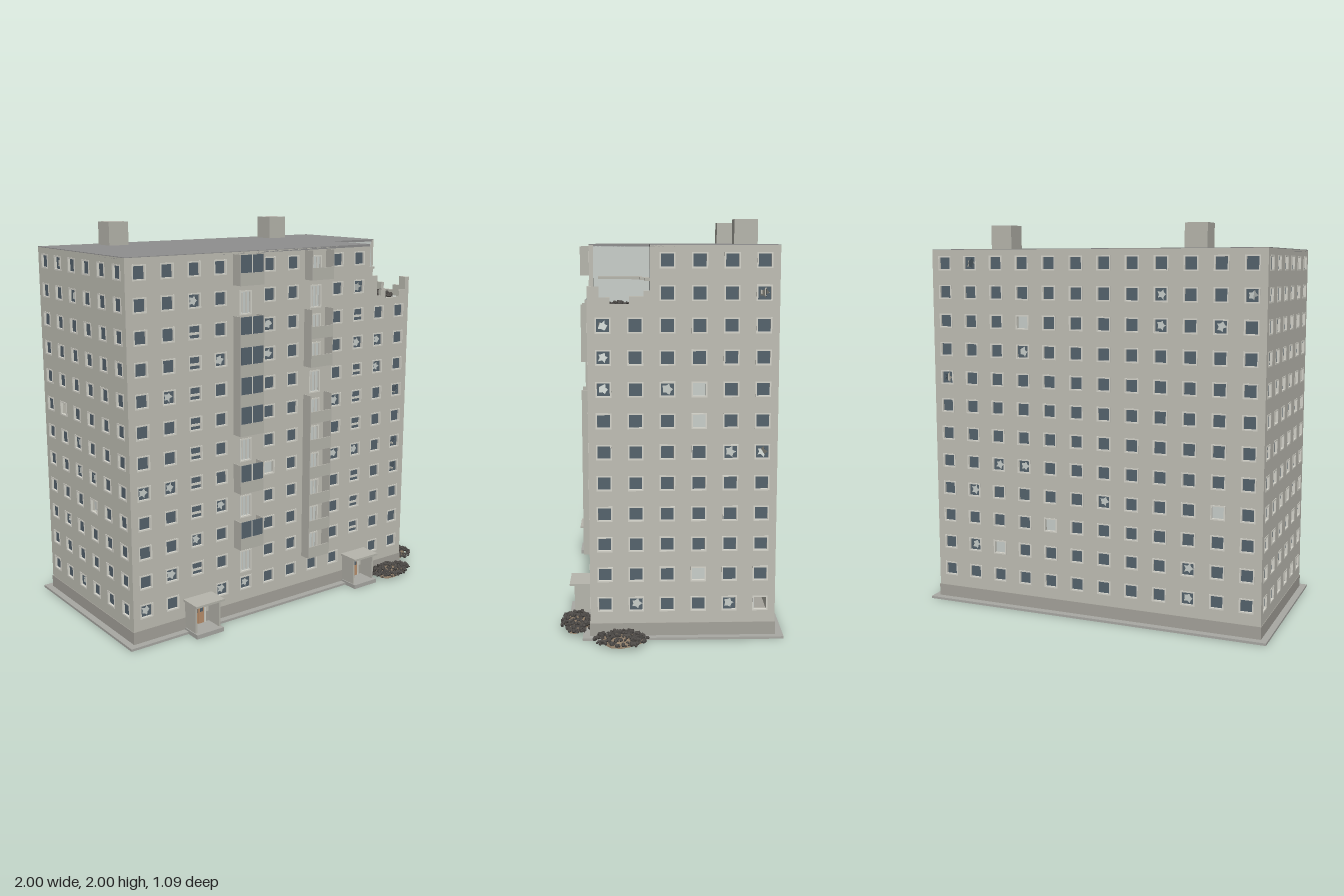
import * as THREE from 'three';
import { mergeGeometries } from 'three/addons/utils/BufferGeometryUtils.js';

const CX = -0.07, CZ = -0.07, W = 0.893, D = 0.445, H = 1.88, T = 0.02, STEP = 0.149;
const floorY = i => 0.17 + STEP * i;

const mat = (color, extra = {}) => new THREE.MeshStandardMaterial({ color, ...extra });
const M = {
  wall: mat(0xc0bfb5), plinth: mat(0xa5a39b), roof: mat(0x8f8f8f), frame: mat(0xd6d5cc),
  glass: mat(0x55636d), inner: mat(0xc9cfcb), balcony: mat(0xb7b6ad), wood: mat(0xb98f6c),
  base: mat(0xa9a9a4), rubble: mat(0x4d4a47, { flatShading: true }), dirt: mat(0x8d7b66, { flatShading: true }),
};

let seed = 7;
const rnd = () => (seed = (seed * 16807) % 2147483647) / 2147483647;
const range = (a, b) => a + (b - a) * rnd();

function add(parent, name, geo, material) {
  const m = new THREE.Mesh(geo, material);
  m.name = name;
  parent.add(m);
  return m;
}
// Box given by its minimum and maximum corners
const span = (x0, x1, y0, y1, z0, z1) =>
  new THREE.BoxGeometry(x1 - x0, y1 - y0, z1 - z0).translate((x0 + x1) / 2, (y0 + y1) / 2, (z0 + z1) / 2);
const shapeOf = pts => new THREE.Shape(pts.map(p => new THREE.Vector2(...p)));
const rect = (x, y, w, h) => [[x - w / 2, y - h / 2], [x + w / 2, y - h / 2], [x + w / 2, y + h / 2], [x - w / 2, y + h / 2]];
function plate(pts, holes, depth) {
  const s = shapeOf(pts);
  holes.forEach(h => s.holes.push(shapeOf(h)));
  return new THREE.ExtrudeGeometry(s, { depth, bevelEnabled: false });
}
// Horizontal slab from (x, z) points
const slab = (pts, y, h) =>
  plate(pts.map(([x, z]) => [x, -z]), [], h).rotateX(-Math.PI / 2).translate(0, y, 0);

// One wall with its windows; kind(k, i) gives the type of each opening
function facade(parent, name, angle, half, dist, cols, outline, kind) {
  const g = new THREE.Group();
  g.name = name;
  g.position.set(CX, 0, CZ);
  g.rotation.y = angle;
  parent.add(g);
  const holes = [], frames = [], panes = [], doors = [];
  const ring = (x, y, w, h) => frames.push(
    plate(rect(x, y, w + 0.01, h + 0.01), [rect(x, y, w - 0.004, h - 0.004)], 0.012).translate(0, 0, dist - 0.0095));
  for (let k = 0; k < cols; k++) for (let i = 0; i < 12; i++) {
    const x = (k - (cols - 1) / 2) * STEP, y = floorY(i), t = kind(k, i), s = 0.064;
    if (t === 'none') continue;
    if (t === 'door') {
      holes.push(rect(x, y - 0.03, s, 0.11));
      ring(x, y - 0.03, s, 0.11);
      doors.push(span(x - s / 2, x + s / 2, y - 0.085, y + 0.025, dist - 0.018, dist - 0.013));
      for (const dx of [-0.012, 0.012])
        frames.push(plate(rect(x + dx, y - 0.03, 0.004, 0.1), [], 0.006).translate(0, 0, dist - 0.013));
      continue;
    }
    holes.push(rect(x, y, s, s));
    ring(x, y, s, s);
    if (t === 'open') continue;
    const hole = [];
    if (t === 'broken') for (let a = 0; a < 10; a++) {
      const r = a % 2 ? range(0.012, 0.02) : range(0.022, 0.03), q = a * Math.PI / 5;
      hole.push([x + r * Math.cos(q), y + r * Math.sin(q)]);
    }
    panes.push(plate(rect(x, y, s, s), hole.length ? [hole] : [], 0.003).translate(0, 0, dist - 0.013));
    // Landing edge behind the stairwell windows
    if (t === 'stair') frames.push(plate(rect(x, y - 0.008, s, 0.012), [], 0.004).translate(0, 0, dist - 0.01));
  }
  add(g, 'wallPanel', plate(outline, holes, T).translate(0, 0, dist - T), M.wall);
  add(g, 'windowFrames', mergeGeometries(frames), M.frame);
  add(g, 'windowPanes', mergeGeometries(panes), M.glass);
  if (doors.length) add(g, 'balconyDoors', mergeGeometries(doors), M.inner);
}

// Heap of broken pieces on an optional mound of earth
function rubblePile(parent, name, x, y, z, rx, rz, h, count, mound) {
  const g = new THREE.Group();
  g.name = name;
  g.position.set(x, y, z);
  parent.add(g);
  if (mound) {
    const geo = new THREE.SphereGeometry(1, 14, 5, 0, Math.PI * 2, 0, Math.PI / 2);
    const p = geo.attributes.position;
    for (let i = 0; i < p.count; i++) {
      const a = Math.atan2(p.getZ(i), p.getX(i)), f = 0.75 + 0.12 * Math.sin(3 * a + 1) + 0.06 * Math.sin(7 * a);
      p.setXYZ(i, p.getX(i) * rx * f, p.getY(i) * h * 0.8, p.getZ(i) * rz * f);
    }
    geo.computeVertexNormals();
    add(g, 'earthMound', geo, M.dirt);
  }
  const bits = [];
  for (let i = 0; i < count; i++) {
    const a = range(0, 6.283), r = Math.sqrt(rnd()) * 0.95, s = range(0.004, 0.011);
    const b = i % 3 ? new THREE.DodecahedronGeometry(s) : new THREE.BoxGeometry(s * 2.4, s, s * 1.5).toNonIndexed();
    b.rotateX(range(0, 3)).rotateY(range(0, 3));
    b.translate(Math.cos(a) * r * rx, s + h * 0.85 * Math.sqrt(1 - r * r) * range(0.3, 1), Math.sin(a) * r * rz);
    bits.push(b);
  }
  add(g, 'chunks', mergeGeometries(bits), M.rubble);
}

function balcony(parent, x, i, glazed) {
  const g = new THREE.Group();
  g.name = glazed ? 'glazedBalcony' : 'openBalcony';
  g.position.set(x, floorY(i), CZ + D);
  parent.add(g);
  const w = 0.07, d = 0.06;
  const parts = [span(-w, w, -0.09, -0.082, 0, d), span(-w, w, -0.09, -0.028, d - 0.006, d)];
  for (const s of [-1, 1])
    parts.push(span(s * w - 0.002, s * w + 0.002, -0.09, 0.059, 0, d));
  add(g, 'balconyShell', mergeGeometries(parts), M.balcony);
  if (!glazed) return;
  for (const s of [-1, 1])
    add(g, 'balconyGlass', span(s * 0.035 - 0.032, s * 0.035 + 0.032, -0.028, 0.057, d - 0.005, d - 0.001), M.glass);
  add(g, 'balconyMullion', span(-0.003, 0.003, -0.028, 0.057, d - 0.005, d), M.frame);
}

function porch(parent, x) {
  const g = new THREE.Group();
  g.name = 'entrancePorch';
  g.position.set(x, 0, CZ + D);
  parent.add(g);
  add(g, 'porchRoof', span(-0.085, 0.085, 0.163, 0.174, 0, 0.117), M.balcony);
  add(g, 'porchStep', span(-0.08, 0.08, 0, 0.022, 0, 0.115), M.base);
  for (const s of [-1, 1]) {
    add(g, 'porchSide', span(s * 0.07 - 0.005, s * 0.07 + 0.005, 0.02, 0.163, 0, 0.093), M.balcony);
    add(g, 'doorLeaf', span(s * 0.017 - 0.016, s * 0.017 + 0.016, 0.022, 0.14, 0, 0.008), M.wood);
    add(g, 'doorLight', span(s * 0.017 - 0.008, s * 0.017 + 0.008, 0.085, 0.128, 0.006, 0.01), M.glass);
  }
  add(g, 'doorSurround', plate(rect(0, 0.084, 0.084, 0.128), [rect(0, 0.08, 0.068, 0.12)], 0.01), M.frame);
}

export function createModel() {
  const root = new THREE.Group();
  root.name = 'damagedApartmentBlock';
  const x0 = CX - W, x1 = CX + W, z0 = CZ - D, z1 = CZ + D, nx = 0.525, nz = 0.085;

  // Ground slab, plinth and rooms behind the windows
  add(root, 'groundSlab', span(-1, 0.857, 0, 0.012, -0.556, 0.412), M.base);
  add(root, 'plinth', span(x0 - 0.003, x1 + 0.003, 0.005, 0.075, z0 - 0.003, z1 + 0.003), M.plinth);
  add(root, 'innerCore', span(x0 + 0.09, x1 - 0.09, 0.07, 1.56, z0 + 0.09, z1 - 0.09), M.inner);
  add(root, 'upperCore', span(x0 + 0.09, nx - 0.05, 1.56, 1.86, z0 + 0.09, nz - 0.05), M.inner);
  const e = T / 2;
  const floors = [];
  for (let i = 1; i < 11; i++) floors.push(span(x0 + e, x1 - e, floorY(i) - 0.092, floorY(i) - 0.08, z0 + e, z1 - e));
  add(root, 'floorSlabs', mergeGeometries(floors), M.inner);

  // Outer walls, with the collapsed corner left out of the front and right ones
  const full = h => [[-h, 0], [h, 0], [h, H - 0.003], [-h, H - 0.003]];
  const frontEdge = [[-W, 0], [W, 0], [W, 1.69], [0.865, 1.69], [0.865, 1.62], [0.82, 1.62], [0.82, 1.585], [0.72, 1.585],
    [0.72, 1.63], [0.685, 1.63], [0.685, 1.6], [0.655, 1.6], [0.655, 1.71], [0.62, 1.71], [0.62, 1.76], [0.597, 1.76],
    [0.597, H - 0.003], [-W, H - 0.003]];
  const s = D - T;
  const rightEdge = [[-s, 0], [s, 0], [s, H - 0.003], [-0.155, H - 0.003], [-0.155, 1.67], [-0.185, 1.67], [-0.185, 1.645],
    [-0.25, 1.645], [-0.25, 1.61], [-0.34, 1.61], [-0.34, 1.64], [-0.39, 1.64], [-0.39, 1.69], [-s, 1.69]];
  const frontBroken = ['0,4', '1,4', '8,4', '11,4', '3,3', '11,3', '1,1', '0,0', '3,0', '4,0', '8,6', '11,6', '1,7', '10,7',
    '3,8', '5,8', '10,8', '5,9', '2,10', '9,10', '2,2', '9,8', '9,4'];
  const rightBroken = ['0,9', '0,8', '0,7', '2,7', '4,5', '5,5', '1,0', '4,0', '5,10'];
  const rightOpen = ['3,7', '3,6', '3,1', '5,0'];
  facade(root, 'frontWall', 0, W, D, 12, frontEdge, (k, i) => {
    if (k > 9 && i > 9) return 'none';
    const stair = k === 2 || k === 9;
    if (stair && i === 0) return 'none';
    if ((k === 4 || k === 7) && i > 0) return 'door';
    if (frontBroken.includes(`${k},${i}`)) return 'broken';
    if (k === 5 && i === 4) return 'open';
    return stair && i < 11 ? 'stair' : 'whole';
  });
  facade(root, 'rightWall', Math.PI / 2, s, W, 6, rightEdge, (k, i) => {
    if (k < 2 && i > 9) return 'none';
    const id = `${k},${i}`;
    return rightOpen.includes(id) ? 'open' : rightBroken.includes(id) ? 'broken' : 'whole';
  });
  const scattered = () => { const r = rnd(); return r < 0.04 ? 'open' : r < 0.17 ? 'broken' : 'whole'; };
  facade(root, 'backWall', Math.PI, W, D, 12, full(W), scattered);
  facade(root, 'leftWall', -Math.PI / 2, s, W, 6, full(s), scattered);

  // Roof with the missing corner and two stair heads
  add(root, 'roof', slab([[x0, z0], [x1, z0], [x1, nz], [0.76, nz], [nx, nz], [nx, z1], [x0, z1]], H - 0.012, 0.012), M.roof);
  for (const x of [-0.593, 0.452]) add(root, 'roofHousing', span(x - 0.057, x + 0.057, H, 2, -0.445, -0.33), M.balcony);

  // Exposed rooms in the collapsed corner
  const ruin = new THREE.Group();
  ruin.name = 'collapsedCorner';
  root.add(ruin);
  add(ruin, 'exposedFloor', span(nx - 0.01, x1 - 0.01, 1.56, 1.575, nz - 0.01, z1 - 0.01), M.inner);
  add(ruin, 'exposedBackWall', plate([[nx, 1.57], [x1 - 0.01, 1.57], [x1 - 0.01, H - 0.01], [nx, H - 0.01]],
    [rect(0.6, 1.8, 0.06, 0.08), rect(0.6, 1.63, 0.055, 0.1)], 0.012).translate(0, 0, nz - 0.012), M.inner);
  add(ruin, 'doorwayRecess', span(0.55, 0.65, 1.575, 1.86, nz - 0.03, nz - 0.02), M.glass);
  add(ruin, 'exposedSideWall', span(nx - 0.012, nx, 1.57, H - 0.01, nz, z1 - 0.01), M.inner);
  add(ruin, 'brokenMiddleFloor', slab([[nx, nz], [x1 - 0.01, nz], [x1 - 0.01, 0.11], [0.7, 0.11], [0.7, 0.13], [0.62, 0.13],
    [0.62, 0.17], [0.575, 0.17], [0.575, 0.27], [0.555, 0.27], [0.555, 0.33], [nx, 0.33]], 1.715, 0.012), M.balcony);
  add(ruin, 'brokenPartition', plate([[nz, 1.727], [0.12, 1.727], [0.12, 1.78], [0.105, 1.78], [0.105, 1.87], [nz, 1.87]], [], 0.01)
    .rotateY(-Math.PI / 2).translate(0.68, 0, 0), M.inner);
  rubblePile(ruin, 'cornerRubble', 0.69, 1.573, 0.225, 0.11, 0.125, 0.035, 300, false);

  // Balcony columns and entrances
  for (const i of [2, 4, 6, 7, 8, 9, 11]) balcony(root, -0.295, i, true);
  for (const i of [1, 2, 3, 4, 5, 6, 8, 9, 11]) balcony(root, 0.152, i, false);
  porch(root, -0.593);
  porch(root, 0.452);

  // Fallen debris on the ground
  rubblePile(root, 'frontRubble', 0.68, 0.01, 0.45, 0.135, 0.085, 0.05, 260, true);
  rubblePile(root, 'sideRubble', 0.905, 0.01, 0.225, 0.09, 0.135, 0.05, 260, true);
  return root;
}
